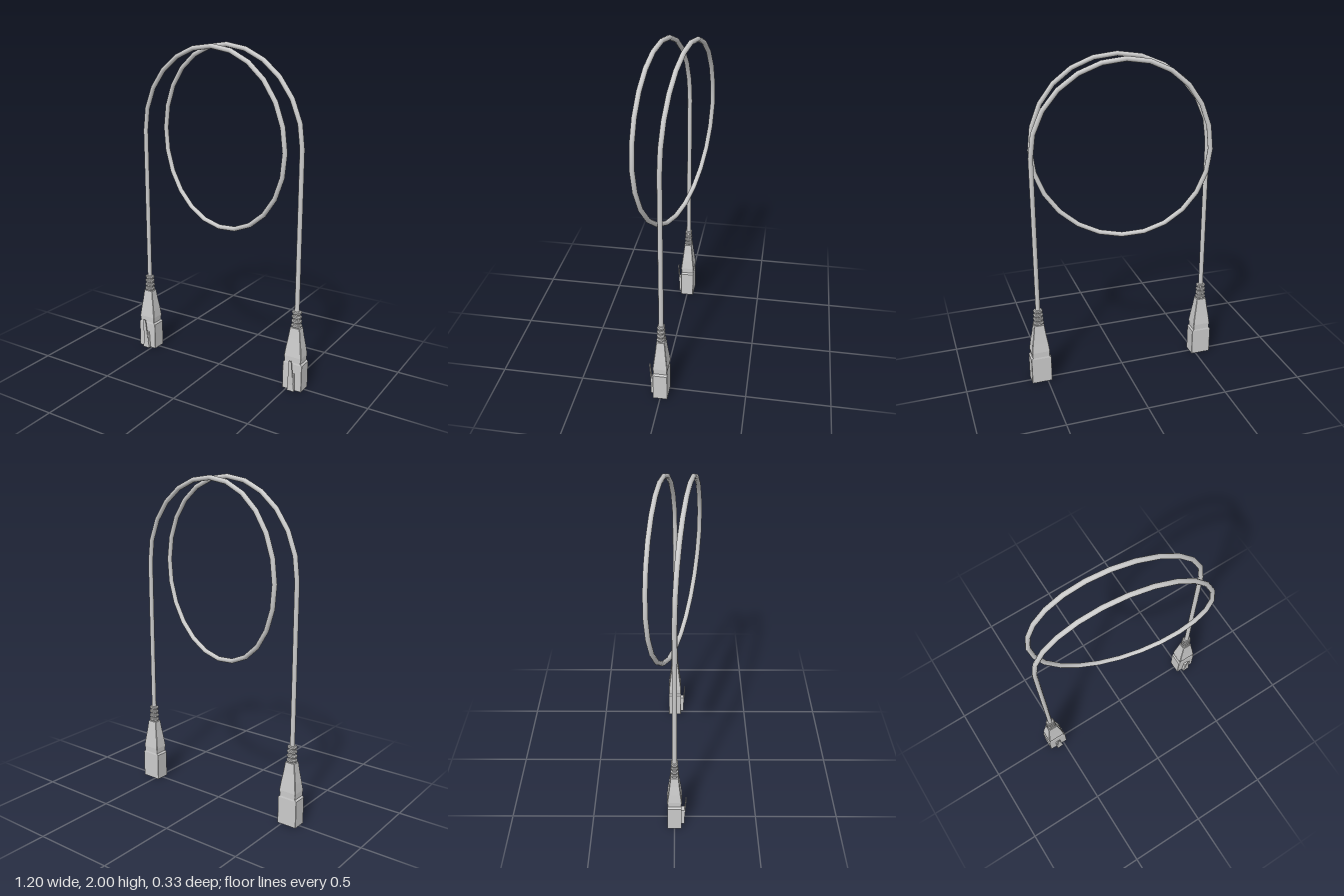
import * as THREE from 'three';

const grey = () => new THREE.MeshStandardMaterial({ color: 0xcccccc });
const flatGrey = () => new THREE.MeshStandardMaterial({ color: 0xcccccc, flatShading: true });

const LEG_X = 0.535, LOOP_Y = 1.45, LOOP_R = 0.535, CABLE_R = 0.0145, STEPS = 36;

// Eased interpolation through [angle, value] knots with falling angles
function ease(knots, a) {
  let i = 0;
  while (i < knots.length - 2 && a < knots[i + 1][0]) i++;
  const [a0, v0] = knots[i], [a1, v1] = knots[i + 1];
  const t = (a - a0) / (a1 - a0);
  return v0 + (v1 - v0) * (0.5 - 0.5 * Math.cos(Math.PI * t));
}

// Cable path: straight leg, one and a half turns of a coil, straight leg
class CablePath extends THREE.Curve {
  getPoint(t) {
    const s = t * (STEPS + 2) - 1;
    if (s < 0) return new THREE.Vector3(-LEG_X, LOOP_Y + s * (LOOP_Y - 0.45), 0);
    if (s > STEPS) return new THREE.Vector3(LEG_X, LOOP_Y - (s - STEPS) * (LOOP_Y - 0.45), 0);
    const deg = 180 - s * 15, a = THREE.MathUtils.degToRad(deg);
    const rx = ease([[180, LEG_X], [0, 0.507], [-180, 0.488], [-360, LEG_X]], deg);
    const z = ease([[180, 0], [8, 0.15], [-188, -0.15], [-360, 0]], deg);
    return new THREE.Vector3(rx * Math.cos(a), LOOP_Y + LOOP_R * Math.sin(a), z);
  }
  getPointAt(t) { return this.getPoint(t); }
  getTangentAt(t) { return this.getTangent(t); }
}

// Stack of chamfered rectangles; rows are [y, halfX, halfZ], closed at both ends
function loft(rows, chamfer) {
  const pos = [], index = [], n = 8;
  for (const [y, hx, hz] of rows) {
    const c = Math.min(hx, hz) * chamfer;
    for (const [x, z] of [[hx, hz - c], [hx - c, hz], [c - hx, hz], [-hx, hz - c],
      [-hx, c - hz], [c - hx, -hz], [hx - c, -hz], [hx, c - hz]]) pos.push(x, y, z);
  }
  for (let r = 0; r < rows.length - 1; r++) {
    for (let i = 0; i < n; i++) {
      const a = r * n + i, b = r * n + (i + 1) % n;
      index.push(a, a + n, b, b, a + n, b + n);
    }
  }
  const top = (rows.length - 1) * n;
  for (let i = 1; i < n - 1; i++) {
    index.push(0, i, i + 1);
    index.push(top, top + i + 1, top + i);
  }
  const g = new THREE.BufferGeometry();
  g.setAttribute('position', new THREE.Float32BufferAttribute(pos, 3));
  g.setIndex(index);
  g.computeVertexNormals();
  return g;
}

function createPlug() {
  const plug = new THREE.Group();
  const add = (name, geometry) => {
    const m = new THREE.Mesh(geometry, flatGrey());
    m.name = name;
    plug.add(m);
    return m;
  };

  // Square plug body with a sloped shoulder
  add('plugBody', loft([[0, 0.0625, 0.043], [0.168, 0.0625, 0.043],
    [0.178, 0.053, 0.041], [0.206, 0.053, 0.041]], 0.04));

  // Tapered strain-relief boot
  add('boot', loft([[0.204, 0.056, 0.044], [0.214, 0.056, 0.044], [0.27, 0.049, 0.037],
    [0.33, 0.039, 0.03], [0.39, 0.031, 0.024]], 0.08));

  // Ribbed neck
  add('neck', loft([[0.385, 0.022, 0.017], [0.49, 0.02, 0.016]], 0.5));
  for (let i = 0; i < 4; i++) {
    const y = 0.393 + i * 0.027, hx = 0.031 - i * 0.0012, hz = 0.023 - i * 0.0008;
    add('neckRib', loft([[y, hx - 0.005, hz - 0.004], [y + 0.005, hx, hz],
      [y + 0.014, hx, hz], [y + 0.019, hx - 0.005, hz - 0.004]], 0.5));
  }

  // Latch: a rail on the front and a thin lever leaning outwards, narrowing upwards
  const rail = new THREE.BoxGeometry(0.044, 0.11, 0.018);
  const rp = rail.attributes.position;
  for (let i = 0; i < rp.count; i++) if (rp.getY(i) > 0) rp.setX(i, rp.getX(i) * 0.75);
  add('latchRail', rail).position.set(0, 0.055, 0.052);

  const lever = new THREE.BoxGeometry(0.04, 0.2, 0.006);
  const lp = lever.attributes.position;
  for (let i = 0; i < lp.count; i++) {
    const t = lp.getY(i) / 0.2 + 0.5;
    lp.setX(i, lp.getX(i) * (1 - 0.6 * t));
    lp.setZ(i, lp.getZ(i) + 0.055 + 0.015 * t);
  }
  add('latchLever', lever).position.y = 0.1;
  return plug;
}

export function createModel() {
  const model = new THREE.Group();
  model.name = 'patchCable';

  const cable = new THREE.Mesh(
    new THREE.TubeGeometry(new CablePath(), STEPS + 2, CABLE_R, 10, false), grey());
  cable.name = 'cable';
  model.add(cable);

  // A plug on each end
  for (const side of [-1, 1]) {
    const plug = createPlug();
    plug.name = side > 0 ? 'leftPlug' : 'rightPlug';
    plug.position.x = side * LEG_X;
    model.add(plug);
  }
  return model;
}
